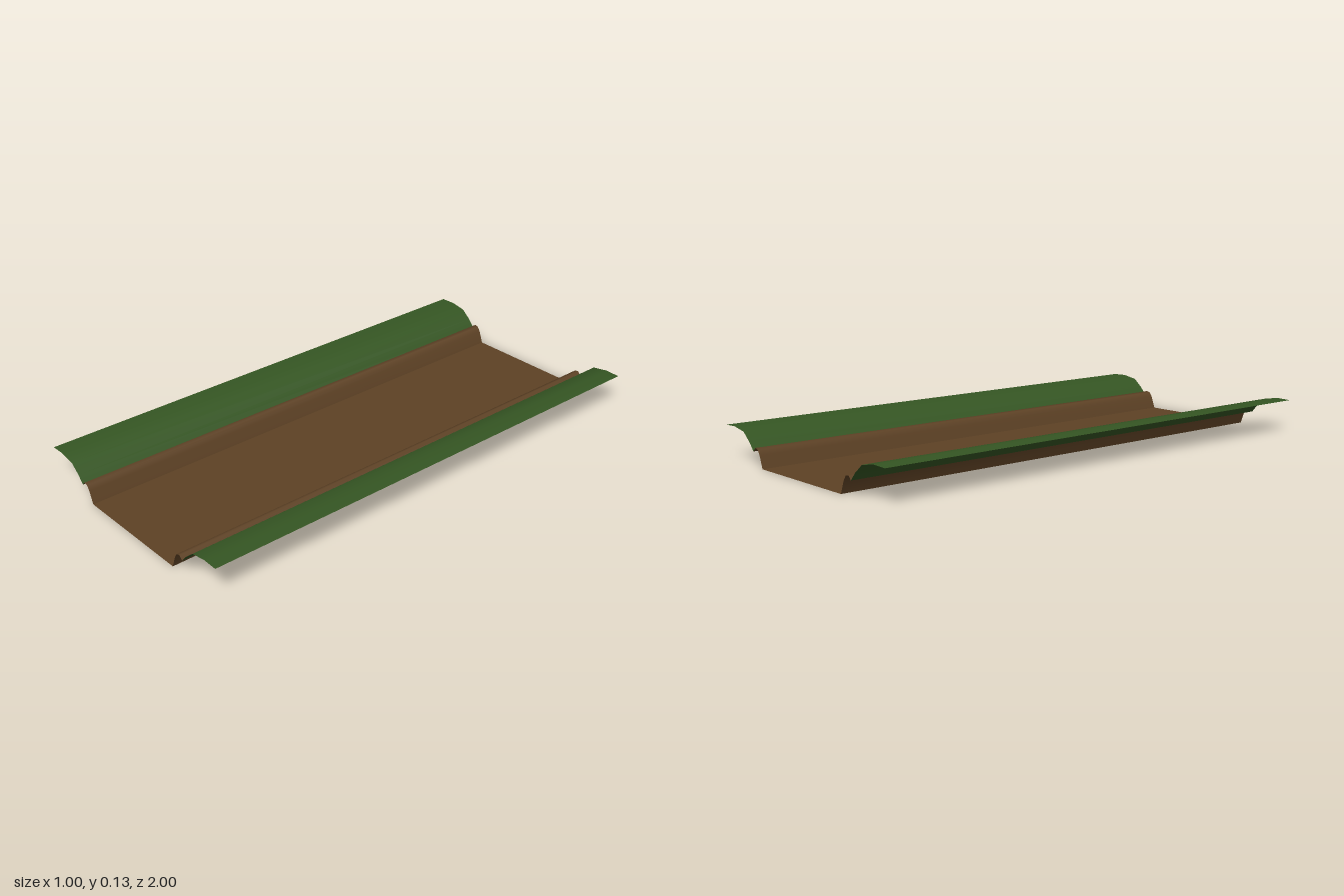
import * as THREE from 'three';

const HALF_LENGTH = 1;

// Half cross-sections on the +x side, as [x, y] from the middle outwards
const BANK = [[0.25, 0], [0.268, 0.048], [0.28, 0.066], [0.296, 0.07], [0.31, 0.055]];
const VERGE = [[0.31, 0.055], [0.335, 0.084], [0.375, 0.117], [0.44, 0.128], [0.5, 0.126]];

// Sweep an open cross-section (running from -x to +x) along z into a smooth sheet
function sheet(name, profile, material) {
  const positions = [];
  const index = [];
  profile.forEach(([x, y], i) => {
    positions.push(x, y, HALF_LENGTH, x, y, -HALF_LENGTH);
    if (i > 0) {
      const a = 2 * (i - 1);
      index.push(a, a + 2, a + 3, a, a + 3, a + 1);
    }
  });
  const geometry = new THREE.BufferGeometry();
  geometry.setAttribute('position', new THREE.Float32BufferAttribute(positions, 3));
  geometry.setIndex(index);
  geometry.computeVertexNormals();
  const mesh = new THREE.Mesh(geometry, material);
  mesh.name = name;
  return mesh;
}

const mirror = (profile) => profile.map(([x, y]) => [-x, y]).reverse();

export function createModel() {
  const earth = new THREE.MeshStandardMaterial({ color: 0x5e4225, side: THREE.DoubleSide });
  earth.name = 'brown earth';
  const grass = new THREE.MeshStandardMaterial({ color: 0x355623, side: THREE.DoubleSide });
  grass.name = 'green grass';

  const model = new THREE.Group();
  model.name = 'dirtPath';

  // Flat path bed
  model.add(sheet('pathBed', [[-0.25, 0], [0.25, 0]], earth));

  // Raised earth banks and rounded grass verges on both sides
  model.add(sheet('leftBank', BANK, earth), sheet('rightBank', mirror(BANK), earth));
  model.add(sheet('leftVerge', VERGE, grass), sheet('rightVerge', mirror(VERGE), grass));

  return model;
}
